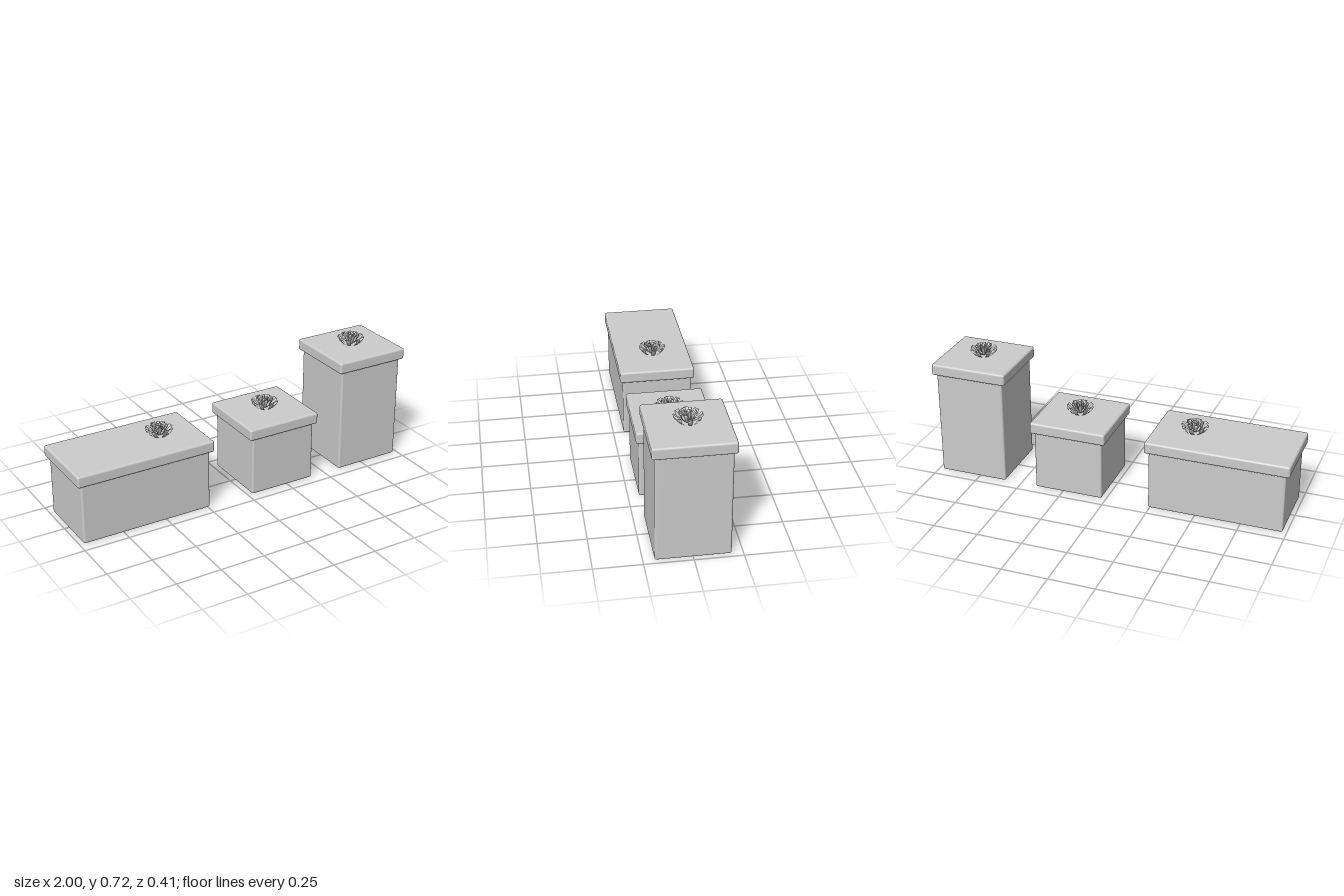
import * as THREE from 'three';
import { RoundedBoxGeometry } from 'three/addons/geometries/RoundedBoxGeometry.js';

const boxMaterial = new THREE.MeshStandardMaterial({ color: 0xcccccc });
const ribbonMaterial = new THREE.MeshStandardMaterial({ color: 0xcccccc, side: THREE.DoubleSide });

function roundedBox(name, w, h, d, x, y) {
  const mesh = new THREE.Mesh(new RoundedBoxGeometry(w, h, d, 4, 0.011), boxMaterial);
  mesh.name = name;
  mesh.position.set(x, y, 0);
  return mesh;
}

// A ribbon swept along a profile of [radius, height], narrow at the knot and wide at the tip
function ribbonLoop(profile, tipWidth) {
  const curve = new THREE.CatmullRomCurve3(profile.map(([r, y]) => new THREE.Vector3(r, y, 0)));
  const reach = Math.max(...profile.map((p) => p[0]));
  const positions = [];
  const indices = [];
  const steps = 20;
  for (let i = 0; i <= steps; i++) {
    const p = curve.getPoint(i / steps);
    const half = tipWidth * (0.2 + 0.3 * Math.min(1, p.x / reach));
    positions.push(p.x, p.y, -half, p.x, p.y, half);
    if (i < steps) {
      const a = i * 2;
      indices.push(a, a + 1, a + 2, a + 1, a + 3, a + 2);
    }
  }
  const geometry = new THREE.BufferGeometry();
  geometry.setAttribute('position', new THREE.Float32BufferAttribute(positions, 3));
  geometry.setIndex(indices);
  geometry.computeVertexNormals();
  return geometry;
}

// Rings of loops: outer, middle and upright centre
const rings = [
  { count: 8, turn: 0, width: 0.025,
    profile: [[0.004, 0.001], [0.035, 0.003], [0.058, 0.02], [0.073, 0.042], [0.068, 0.047], [0.045, 0.03], [0.004, 0.006]] },
  { count: 8, turn: Math.PI / 8, width: 0.019,
    profile: [[0.004, 0.004], [0.022, 0.012], [0.036, 0.035], [0.045, 0.057], [0.039, 0.061], [0.025, 0.04], [0.004, 0.01]] },
  { count: 5, turn: 0.2, width: 0.014,
    profile: [[0.002, 0.006], [0.01, 0.022], [0.018, 0.05], [0.019, 0.061], [0.014, 0.063], [0.007, 0.04], [0.002, 0.01]] },
];

function createBow(x, y) {
  const bow = new THREE.Group();
  bow.name = 'bow';
  for (const { count, turn, width, profile } of rings) {
    const geometry = ribbonLoop(profile, width);
    for (let i = 0; i < count; i++) {
      const loop = new THREE.Mesh(geometry, ribbonMaterial);
      loop.name = 'ribbonLoop';
      loop.rotation.y = turn + (i / count) * Math.PI * 2;
      bow.add(loop);
    }
  }
  bow.position.set(x, y, 0);
  return bow;
}

// Each gift: body, overhanging lid and bow
function createGift({ name, x, lidWidth, top, bowX }) {
  const gift = new THREE.Group();
  gift.name = name;
  const lidHeight = 0.064;
  const bodyHeight = top - 0.02;
  gift.add(
    roundedBox('boxBody', lidWidth - 0.044, bodyHeight, 0.384, x, bodyHeight / 2),
    roundedBox('boxLid', lidWidth, lidHeight, 0.414, x, top - lidHeight / 2),
    createBow(bowX, top),
  );
  return gift;
}

export function createModel() {
  const model = new THREE.Group();
  model.name = 'giftBoxes';
  const gifts = [
    { name: 'longGift', x: -0.609, lidWidth: 0.782, top: 0.396, bowX: -0.435 },
    { name: 'smallGift', x: 0.217, lidWidth: 0.428, top: 0.396, bowX: 0.217 },
    { name: 'tallGift', x: 0.785, lidWidth: 0.428, top: 0.652, bowX: 0.78 },
  ];
  for (const gift of gifts) model.add(createGift(gift));
  return model;
}
